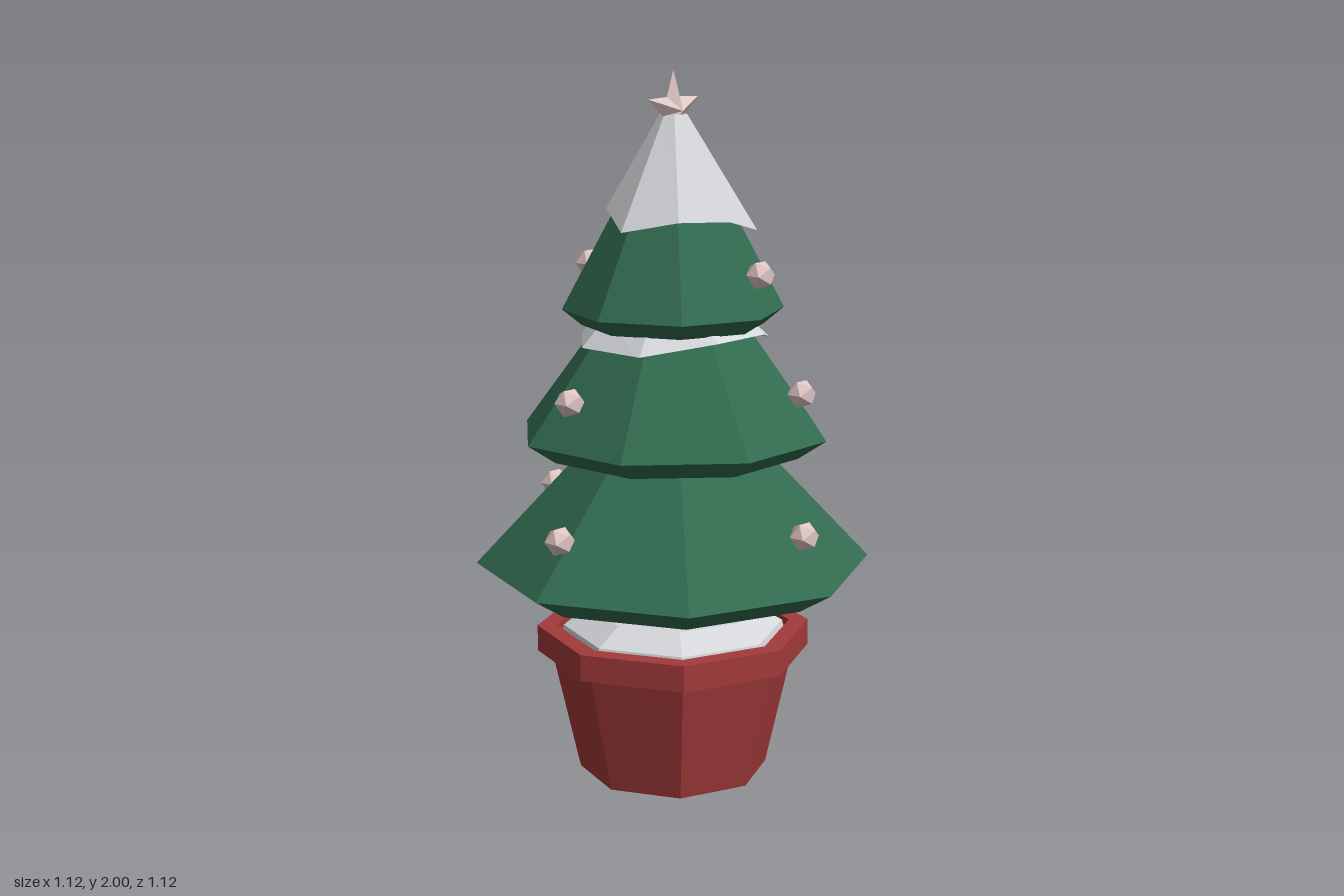
import * as THREE from 'three';

const mat = (name, color, side = THREE.FrontSide) => {
  const m = new THREE.MeshStandardMaterial({ color, flatShading: true, side });
  m.name = name;
  return m;
};

export function createModel() {
  const tree = new THREE.Group();
  tree.name = 'pottedTree';
  const green = mat('needle green', 0x326b50);
  const red = mat('pot red', 0xa33a3a);
  const brown = mat('bark brown', 0x5a3a22);
  const white = mat('snow white', 0xd4d6da, THREE.DoubleSide);
  const pink = mat('ornament pink', 0xdfc6c4);

  const add = (name, geometry, material) => {
    const mesh = new THREE.Mesh(geometry, material);
    mesh.name = name;
    tree.add(mesh);
    return mesh;
  };
  // Eight-sided turned part; profile is [radius, height] from bottom to top
  const turned = (name, profile, material, phi = 0) =>
    add(name, new THREE.LatheGeometry(profile.map(p => new THREE.Vector2(...p)), 8, phi), material);

  // Pot with a lipped rim, snow filling and trunk
  turned('pot', [[0, 0], [0.27, 0], [0.35, 0.355], [0.39, 0.355], [0.39, 0.43],
    [0.335, 0.43], [0.335, 0.39], [0, 0.39]], red);
  turned('potSnow', [[0.325, 0.39], [0.315, 0.43], [0.235, 0.475], [0, 0.475]], white);
  add('trunk', new THREE.CylinderGeometry(0.063, 0.063, 0.2, 6), brown).position.y = 0.52;

  // Foliage tiers, the middle one turned by half a side
  const half = Math.PI / 8;
  turned('lowerTier', [[0, 0.555], [0.455, 0.555], [0.56, 0.62], [0.25, 0.95], [0, 0.98]], green);
  turned('middleTier', [[0, 0.94], [0.363, 0.94], [0.444, 0.995], [0.21, 1.31], [0, 1.34]], green, half);
  turned('upperTier', [[0, 1.3], [0.255, 1.3], [0.31, 1.345], [0.025, 1.88], [0, 1.88]], green);

  // Snow shell: a small top ring and a ragged hem of [radius, height] per corner
  const snowCap = (name, topR, topY, hem, phi) => {
    const pos = [0, topY, 0], index = [];
    hem.forEach(([r, y], i) => {
      const a = phi + i * Math.PI / 4, s = Math.sin(a), c = Math.cos(a);
      pos.push(topR * s, topY, topR * c, r * s, y, r * c);
      const t = 1 + 2 * i, n = 1 + 2 * ((i + 1) % 8);
      index.push(0, t, n, t, t + 1, n + 1, t, n + 1, n);
    });
    const g = new THREE.BufferGeometry();
    g.setAttribute('position', new THREE.Float32BufferAttribute(pos, 3));
    g.setIndex(index);
    g.computeVertexNormals();
    add(name, g, white);
  };
  snowCap('topSnow', 0.038, 1.88, [[0.2, 1.6], [0.233, 1.56], [0.175, 1.635], [0.185, 1.625],
    [0.225, 1.56], [0.185, 1.625], [0.215, 1.575], [0.195, 1.605]], 0);
  snowCap('middleSnow', 0.215, 1.325, [[0.265, 1.285], [0.309, 1.238], [0.309, 1.24], [0.28, 1.255],
    [0.27, 1.265], [0.28, 1.255], [0.287, 1.255], [0.265, 1.285]], half);
  snowCap('lowerSnow', 0.25, 0.965, [[0.28, 0.94], [0.32, 0.912], [0.285, 0.94], [0.29, 0.935],
    [0.31, 0.918], [0.29, 0.935], [0.285, 0.94], [0.29, 0.932]], 0);

  // Faceted ornaments
  const ball = new THREE.IcosahedronGeometry(0.042, 0);
  [[0, 0.77, 0.467], [0.467, 0.77, 0], [0, 0.77, -0.467], [-0.467, 0.77, 0],
    [0.14, 1.125, 0.345], [0.235, 1.125, -0.29], [-0.365, 1.125, -0.055],
    [0.06, 1.455, 0.26], [-0.06, 1.455, -0.26]].forEach(p => add('ornament', ball, pink).position.set(...p));

  // Five-pointed star, raised to a ridge point front and back
  const pos = [0, 0, 0.035, 0, 0, -0.035], index = [];
  for (let i = 0; i < 10; i++) {
    const a = i * Math.PI / 5, r = i % 2 ? 0.046 : 0.11;
    pos.push(r * Math.sin(a), r * Math.cos(a), 0);
    const p = 2 + i, n = 2 + (i + 1) % 10;
    index.push(0, n, p, 1, p, n);
  }
  const star = new THREE.BufferGeometry();
  star.setAttribute('position', new THREE.Float32BufferAttribute(pos, 3));
  star.setIndex(index);
  star.computeVertexNormals();
  add('star', star, pink).position.y = 1.89;

  return tree;
}
